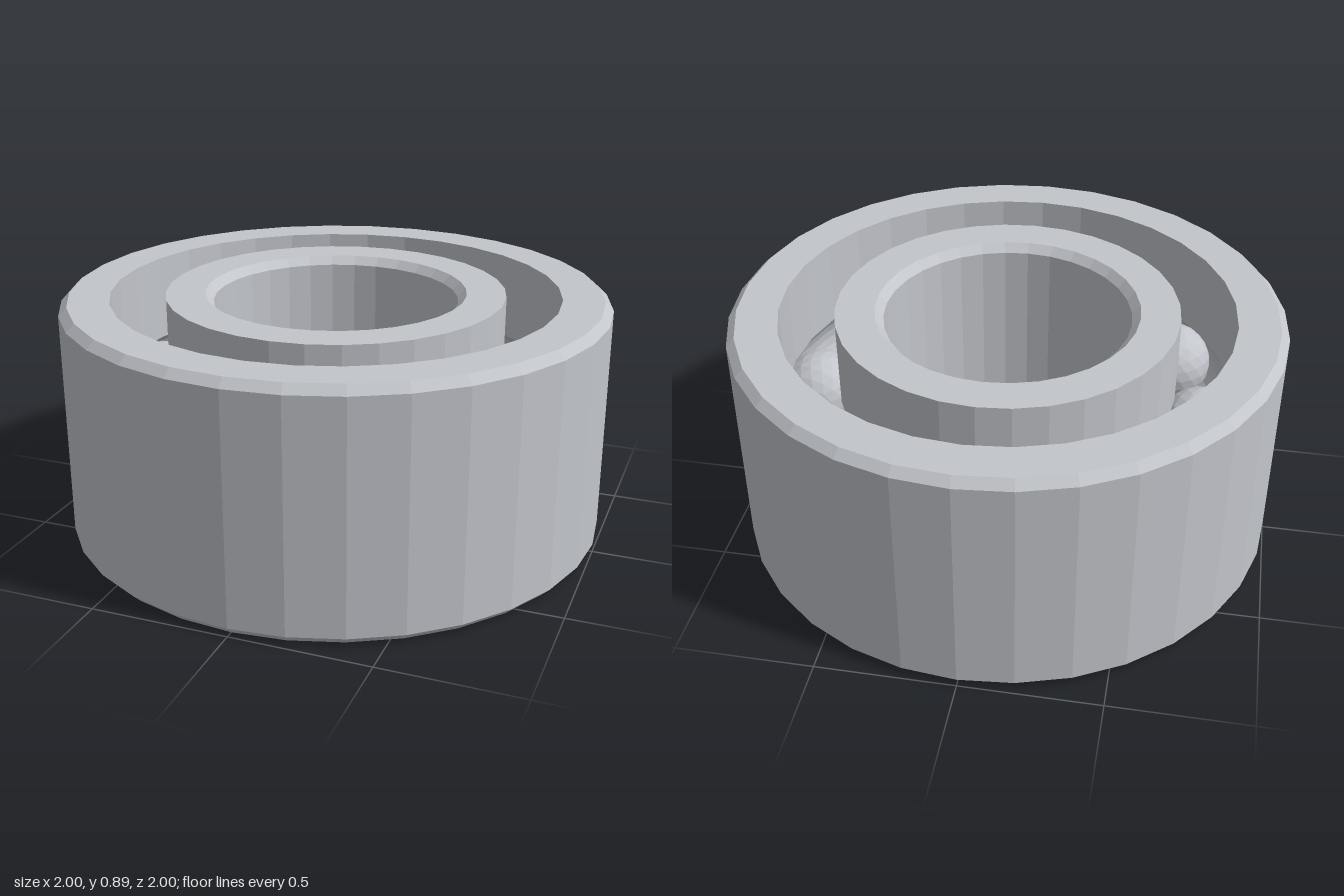
import * as THREE from 'three';

const HEIGHT = 0.89, MID = HEIGHT / 2, CHAMFER = 0.03;
const BALLS = 10, PITCH = 0.72, BALL_R = 0.153, GROOVE_R = 0.156;
const SEGMENTS = 32;

// Separate every face so that each facet is flat
function facet(geometry) {
  const flat = geometry.index ? geometry.toNonIndexed() : geometry;
  flat.computeVertexNormals();
  return flat;
}

// Points of the ball groove cut in a wall: side +1 runs downwards on the
// outer ring, side -1 runs upwards on the inner ring
function groove(wall, side) {
  const half = Math.acos(Math.abs(wall - PITCH) / GROOVE_R);
  const points = [];
  for (let i = 0; i <= 8; i++) {
    const a = half * (1 - i / 4);
    points.push([PITCH + side * GROOVE_R * Math.cos(a), MID + side * GROOVE_R * Math.sin(a)]);
  }
  return points;
}

function ring(name, profile, material) {
  const points = [...profile, profile[0]].map(([r, y]) => new THREE.Vector2(r, y));
  const mesh = new THREE.Mesh(facet(new THREE.LatheGeometry(points, SEGMENTS)), material);
  mesh.name = name;
  return mesh;
}

export function createModel() {
  const model = new THREE.Group();
  model.name = 'ballBearing';
  const steel = new THREE.MeshStandardMaterial({ color: 0xc2c5cb });
  steel.name = 'steel';

  // Outer ring, chamfered on the outside
  const outer = 1, outerWall = 0.82;
  model.add(ring('outerRing', [
    [outerWall, 0], [outer - CHAMFER, 0], [outer, CHAMFER],
    [outer, HEIGHT - CHAMFER], [outer - CHAMFER, HEIGHT], [outerWall, HEIGHT],
    ...groove(outerWall, 1),
  ], steel));

  // Inner ring, chamfered at the bore
  const bore = 0.447, innerWall = 0.62;
  model.add(ring('innerRing', [
    [bore + CHAMFER, 0], [innerWall, 0],
    ...groove(innerWall, -1),
    [innerWall, HEIGHT], [bore + CHAMFER, HEIGHT],
    [bore, HEIGHT - CHAMFER], [bore, CHAMFER],
  ], steel));

  // Balls, each with a vertex at the top
  const ballGeometry = facet(new THREE.IcosahedronGeometry(BALL_R, 3));
  ballGeometry.rotateZ(Math.atan(2 / (1 + Math.sqrt(5))));
  const balls = new THREE.Group();
  balls.name = 'balls';
  for (let i = 0; i < BALLS; i++) {
    const a = (i / BALLS) * Math.PI * 2;
    const ball = new THREE.Mesh(ballGeometry, steel);
    ball.name = 'ball' + (i + 1);
    ball.position.set(PITCH * Math.cos(a), MID, -PITCH * Math.sin(a));
    ball.rotation.y = a;
    balls.add(ball);
  }
  model.add(balls);

  return model;
}
